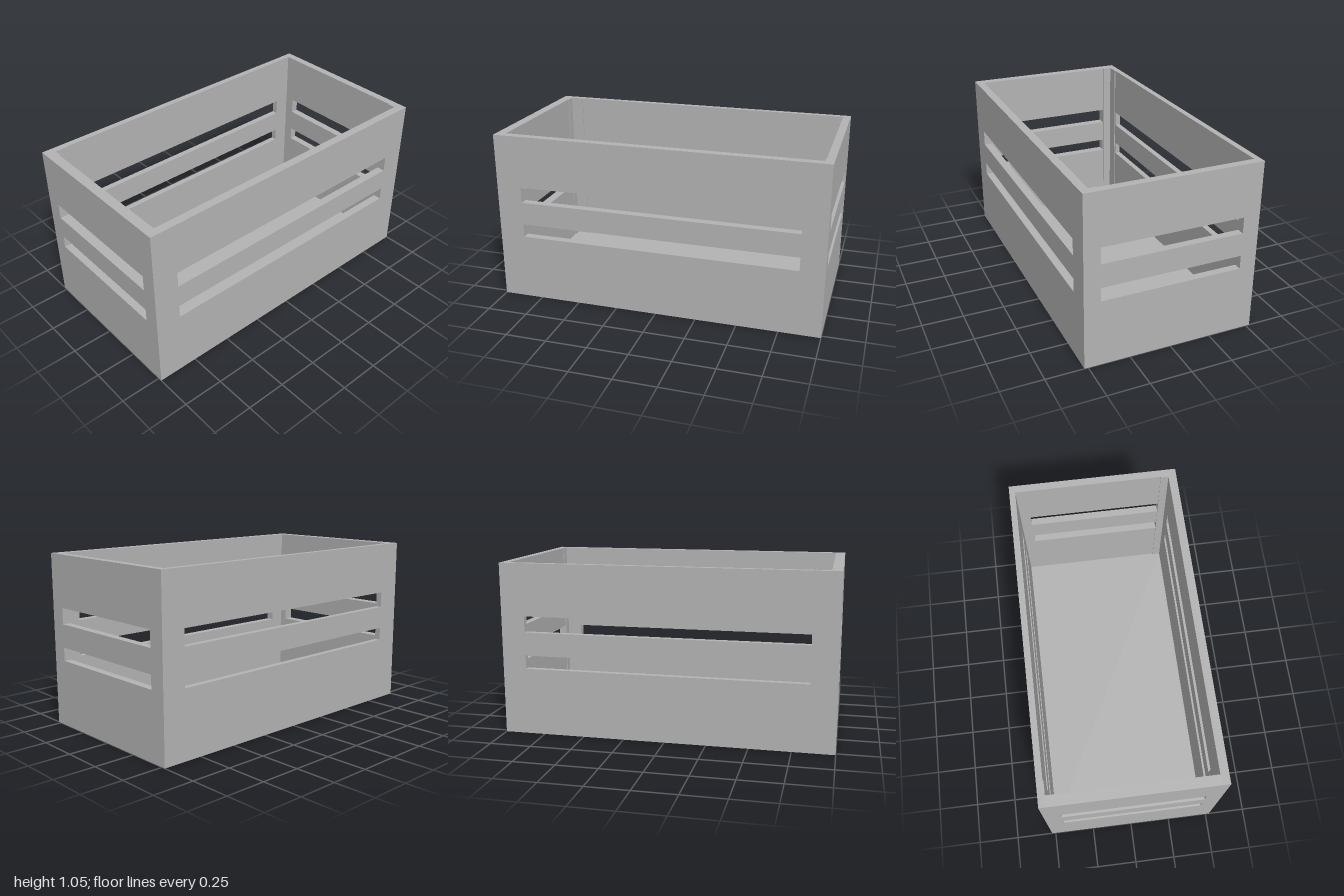
import * as THREE from 'three';

const H = 1.046, HX = 0.523, HZ = 1;
// inner faces of the four walls
const IN = { left: 0.473, right: -0.486, front: 0.94, back: -0.953 };
// heights of the two handle slots
const SLOTS = [[0.406, 0.488], [0.63, 0.728]];

const material = new THREE.MeshStandardMaterial({ color: 0xb3b3b3 });
material.name = 'grey';

function rectangle(path, x0, x1, y0, y1) {
  path.moveTo(x0, y0);
  path.lineTo(x1, y0);
  path.lineTo(x1, y1);
  path.lineTo(x0, y1);
  path.closePath();
  return path;
}

// upright panel from a to b with two slots from s0 to s1
function slottedPanel(a, b, s0, s1, depth) {
  const shape = rectangle(new THREE.Shape(), a, b, 0, H);
  for (const [y0, y1] of SLOTS) shape.holes.push(rectangle(new THREE.Path(), s0, s1, y0, y1));
  return new THREE.ExtrudeGeometry(shape, { depth, bevelEnabled: false });
}

export function createModel() {
  const crate = new THREE.Group();
  crate.name = 'crate';
  const add = (name, geometry) => {
    const mesh = new THREE.Mesh(geometry, material);
    mesh.name = name;
    crate.add(mesh);
  };
  const box = (x0, x1, y0, y1, z0, z1) =>
    new THREE.BoxGeometry(x1 - x0, y1 - y0, z1 - z0)
      .translate((x0 + x1) / 2, (y0 + y1) / 2, (z0 + z1) / 2);

  // long side walls, turned so their length runs along z
  const side = (x0, x1) => slottedPanel(-HZ, HZ, -0.845, 0.855, x1 - x0)
    .rotateY(Math.PI / 2).translate(x0, 0, 0);
  add('leftWall', side(IN.left, HX));
  add('rightWall', side(-HX, IN.right));

  // end walls fitted between the sides
  const end = (z0, z1) => slottedPanel(IN.right, IN.left, -0.423, 0.425, z1 - z0)
    .translate(0, 0, z0);
  add('frontWall', end(IN.front, HZ));
  add('backWall', end(-HZ, IN.back));

  // floor inside the walls
  add('floor', box(IN.right, IN.left, 0, 0.02, IN.back, IN.front));

  // slight thickening in two inner corners
  const t = 0.005;
  add('frontRightSidePad', box(IN.right, IN.right + t, 0.02, H, 0.855, IN.front));
  add('frontRightEndPad', box(IN.right + t, -0.43, 0.02, H, IN.front - t, IN.front));
  add('backLeftEndPad', box(0.425, IN.left, 0.02, H, IN.back, IN.back + t));

  return crate;
}
